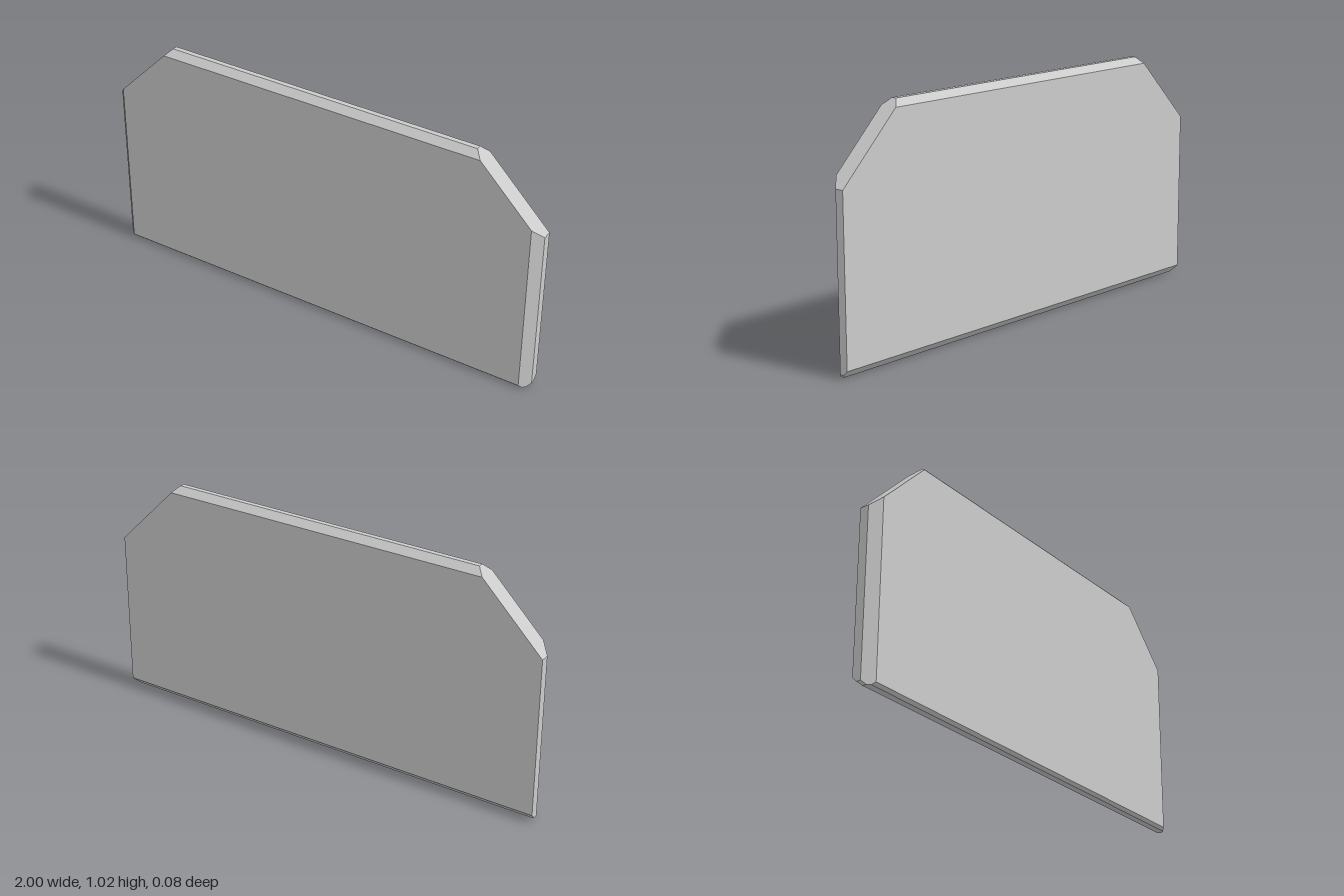
import * as THREE from 'three';
import { ConvexGeometry } from 'three/addons/geometries/ConvexGeometry.js';

export function createModel() {
  const group = new THREE.Group();
  group.name = 'bevelledPanel';
  const t = 0.039; // half thickness

  // Corners of the +x half; the -x half is mirrored
  const half = [
    // bevelled top edge
    [0.704, 1.016, 0.011], [0.704, 1.016, -0.011],
    [0.732, 0.988, t], [0.732, 0.988, -t],
    // lower end of the sloped shoulder, bevelled at the front only
    [0.961, 0.759, t], [1, 0.72, 0], [1, 0.72, -t],
    // bottom edge: narrow front bevel, wide back bevel, clipped corner
    [0.961, 0.012, t], [0.973, 0, 0.027],
    [0.985, 0, 0.015], [0.985, 0, -0.004],
    [1, 0.015, 0], [1, 0.015, -0.019], [1, 0.035, -t],
  ];
  const points = half.flatMap(([x, y, z]) => [
    new THREE.Vector3(x, y, z),
    new THREE.Vector3(-x, y, z),
  ]);

  const panel = new THREE.Mesh(
    new ConvexGeometry(points),
    new THREE.MeshStandardMaterial({ color: 0xcccccc, flatShading: true })
  );
  panel.name = 'panel';
  group.add(panel);
  return group;
}
